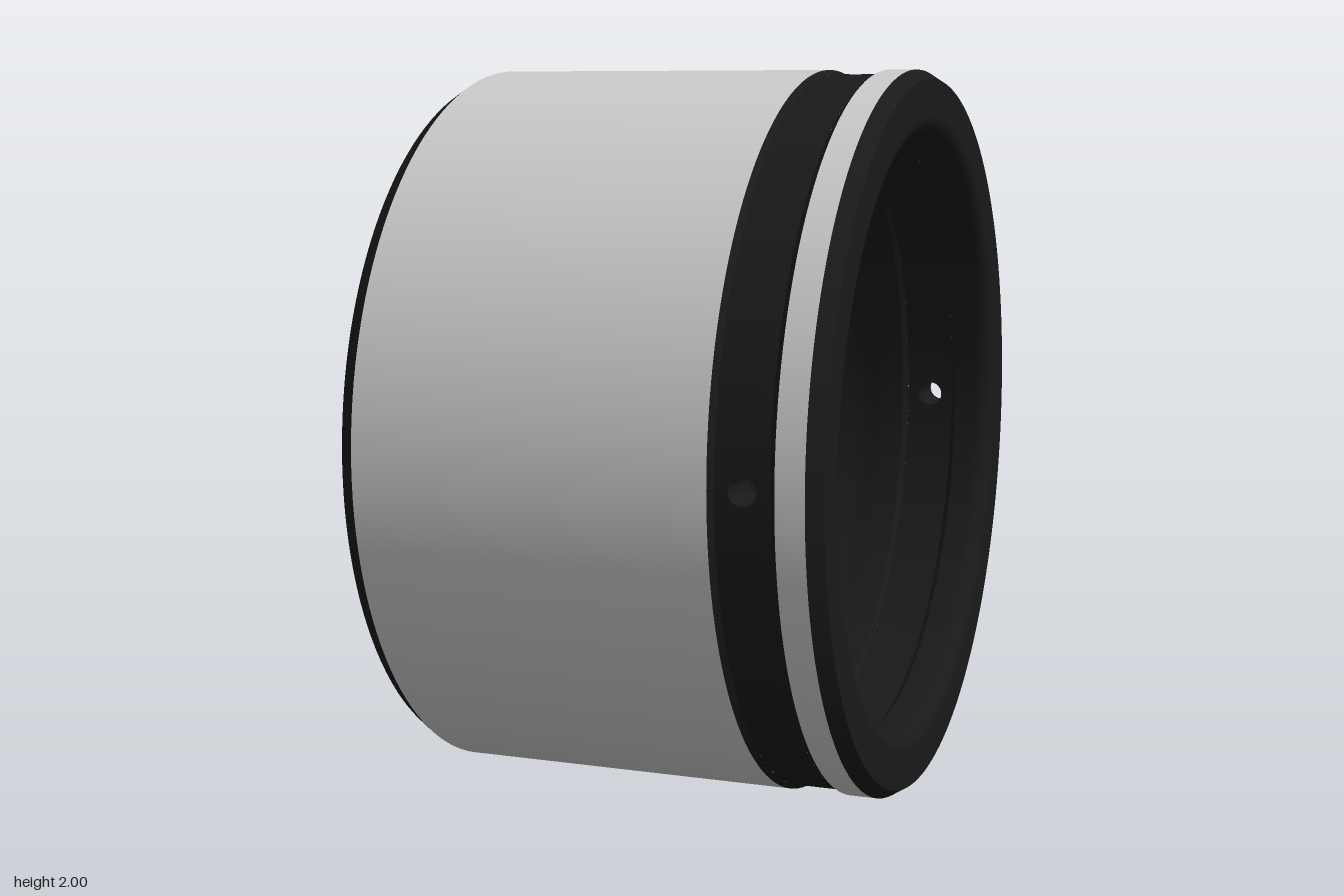
import * as THREE from 'three';

const OUTER = 1, BORE = 0.825;            // main radii
const GROOVE_OUT = 0.988, GROOVE_IN = 0.837; // groove floor radii
const END = 0.64, HOLE_AT = 0.44, HOLE_R = 0.036, PATCH = 0.07;

export function createModel() {
  const steel = new THREE.MeshStandardMaterial({ color: 0xcccccc });
  const dark = new THREE.MeshStandardMaterial({ color: 0x191919 });
  const model = new THREE.Group();
  const bushing = new THREE.Group();
  bushing.name = 'bushing';
  model.add(bushing);

  const add = (name, geometry, material) => {
    const mesh = new THREE.Mesh(geometry, material);
    mesh.name = name;
    bushing.add(mesh);
    return mesh;
  };

  // Turned surface from [radius, axial position] points
  const turned = (name, points, material, start = 0, sweep = Math.PI * 2, segments = 144) =>
    add(name, new THREE.LatheGeometry(points.map(p => new THREE.Vector2(...p)), segments, start, sweep), material);

  const grooveLow = HOLE_AT - 0.085, grooveHigh = HOLE_AT + 0.085;
  const floorLow = HOLE_AT - PATCH, floorHigh = HOLE_AT + PATCH;

  // Outer skin
  turned('outerSleeve', [[OUTER, -0.6], [OUTER, grooveLow]], steel);
  turned('outerLip', [[OUTER, grooveHigh], [OUTER, 0.6]], steel);
  turned('outerGrooveSide', [[OUTER, grooveLow], [GROOVE_OUT, floorLow]], dark);
  turned('outerGrooveSide', [[GROOVE_OUT, floorHigh], [OUTER, grooveHigh]], dark);

  // Chamfers, end faces and rounded mouths of the bore
  const round = 0.05;
  const mouth = [];
  for (let i = 0; i <= 8; i++) {
    const a = (i / 8) * Math.PI / 2;
    mouth.push([BORE + round * (1 - Math.sin(a)), END - round * (1 - Math.cos(a))]);
  }
  for (const side of [1, -1]) {
    const sided = pts => {
      const list = pts.map(([r, y]) => [r, y * side]);
      return side > 0 ? list : list.reverse();
    };
    turned('endChamfer', sided([[OUTER, 0.6], [0.975, END]]), dark);
    turned('endFace', sided([[0.975, END], [BORE + round, END]]), dark);
    turned('boreMouth', sided(mouth), dark);
  }

  // Bore with its groove and shallow scallops
  turned('boreLip', [[BORE, END - round], [BORE, grooveHigh]], dark);
  turned('innerGrooveSide', [[BORE, grooveHigh], [GROOVE_IN, floorHigh]], dark);
  turned('innerGrooveSide', [[GROOVE_IN, floorLow], [BORE, grooveLow]], dark);
  const bore = [[BORE, grooveLow]];
  for (let i = 0; i <= 50; i++) {
    const t = i / 50;
    bore.push([BORE + 0.007 * Math.sin(t * Math.PI * 5) ** 2, 0.3 - t * 0.8]);
  }
  bore.push([BORE, -END + round]);
  turned('bore', bore, dark);

  // Groove floors, pierced by four oil holes
  const outerFloor = [], innerFloor = [], wall = [];
  for (let i = 0; i <= 4; i++) {
    outerFloor.push([GROOVE_OUT, i / 4]);
    innerFloor.unshift([GROOVE_IN, i / 4]);
  }
  wall.push([GROOVE_IN, 0], [GROOVE_OUT, 0]);
  const outerPatch = patch(outerFloor), innerPatch = patch(innerFloor), holeWall = patch(wall);
  for (let k = 0; k < 4; k++) {
    const turn = k * Math.PI / 2;
    for (const [name, r, low, high] of [
      ['outerGrooveFloor', GROOVE_OUT, floorLow, floorHigh],
      ['innerGrooveFloor', GROOVE_IN, floorHigh, floorLow],
    ]) {
      const gap = Math.asin(PATCH / r);
      turned(name, [[r, low], [r, high]], dark, turn + gap, Math.PI / 2 - 2 * gap, 36);
    }
    add('outerHoleSurround', outerPatch, dark).rotation.y = turn;
    add('innerHoleSurround', innerPatch, dark).rotation.y = turn;
    add('oilHole', holeWall, dark).rotation.y = turn;
  }

  // Lay the axis along x and stand it on the ground
  bushing.rotation.z = -Math.PI / 2;
  bushing.position.y = 1;
  return model;
}

// Curved surface made of loops; each row is [radius, blend from hole circle to square]
function patch(rows) {
  const n = 32, positions = [], index = [];
  rows.forEach(([r, blend], i) => {
    for (let j = 0; j < n; j++) {
      const a = (j / n) * Math.PI * 2, c = Math.cos(a), s = Math.sin(a);
      const square = PATCH / Math.max(Math.abs(c), Math.abs(s));
      const d = HOLE_R + (square - HOLE_R) * blend;
      positions.push(d * c, HOLE_AT + d * s, Math.sqrt(r * r - d * d * c * c));
      if (i + 1 < rows.length) {
        const p = i * n + j, q = i * n + (j + 1) % n;
        index.push(p, p + n, q, q, p + n, q + n);
      }
    }
  });
  const geometry = new THREE.BufferGeometry();
  geometry.setAttribute('position', new THREE.Float32BufferAttribute(positions, 3));
  geometry.setIndex(index);
  geometry.computeVertexNormals();
  return geometry;
}
